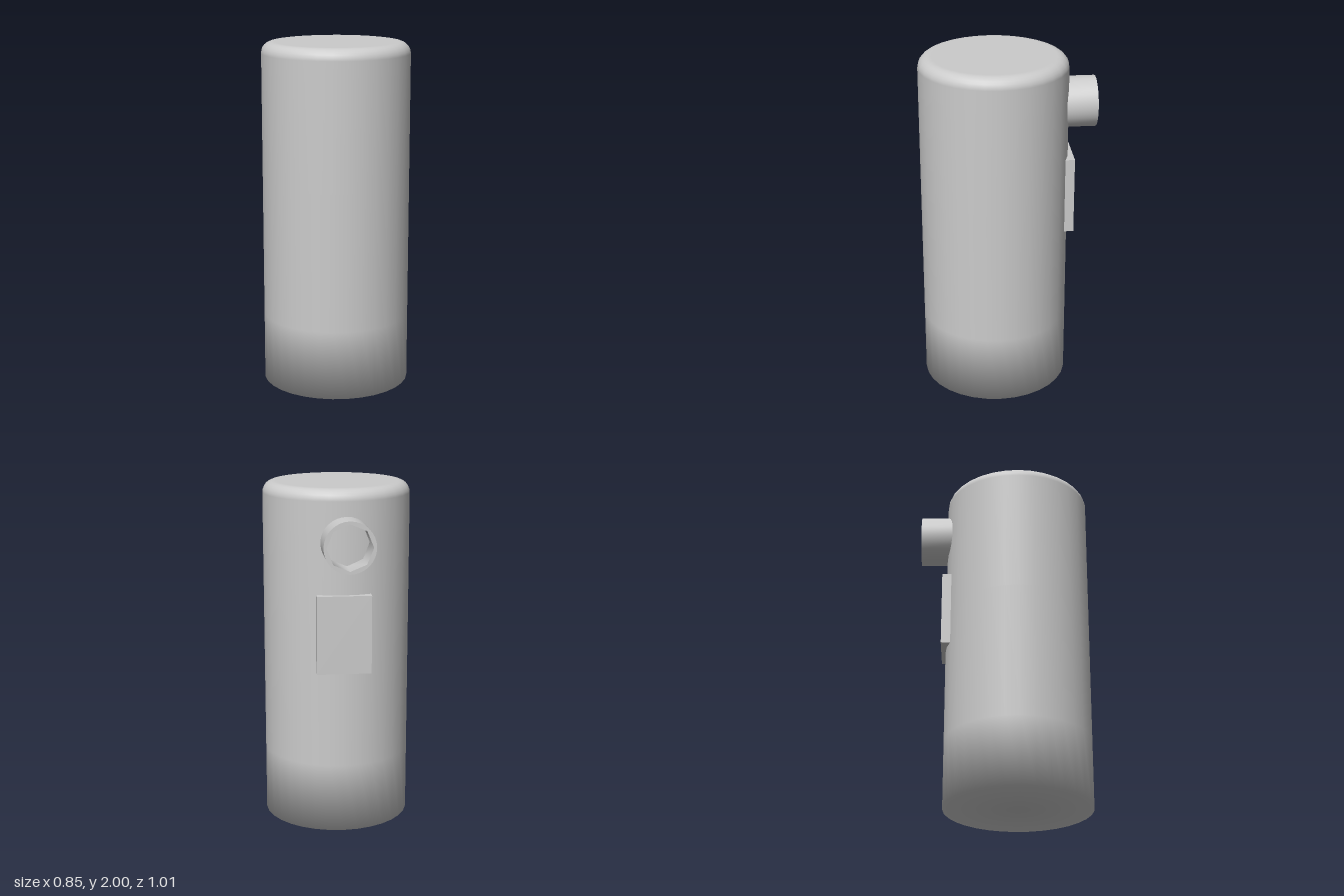
import * as THREE from 'three';
import { toCreasedNormals } from 'three/addons/utils/BufferGeometryUtils.js';

const grey = new THREE.MeshStandardMaterial({ color: 0xcccccc });

function addPart(group, name, geometry, x, y, z) {
  const mesh = new THREE.Mesh(geometry, grey);
  mesh.name = name;
  mesh.position.set(x, y, z);
  group.add(mesh);
  return mesh;
}

// Regular polygon outline, used for the round wall and the coarser bore
function polygon(PathType, radius, sides) {
  const points = [];
  for (let i = 0; i < sides; i++) {
    const a = (i / sides) * Math.PI * 2;
    points.push(new THREE.Vector2(Math.cos(a) * radius, Math.sin(a) * radius));
  }
  return new PathType(points);
}

export function createModel() {
  const model = new THREE.Group();
  model.name = 'cylinderWithSpout';

  // Tall body: soft-shaded base rim, straight wall, rounded top edge
  const radius = 0.427, height = 2, fillet = 0.065;
  const profile = [[0, 0], [radius, 0], [radius, 0.4], [radius, 1.2]]
    .map(([x, y]) => new THREE.Vector2(x, y));
  for (let i = 0; i <= 6; i++) {
    const a = (i / 6) * Math.PI / 2;
    profile.push(new THREE.Vector2(
      radius - fillet + Math.cos(a) * fillet,
      height - fillet + Math.sin(a) * fillet));
  }
  profile.push(new THREE.Vector2(radius - fillet - 0.01, height), new THREE.Vector2(0, height));
  addPart(model, 'body', new THREE.LatheGeometry(profile, 32), 0, 0, 0.078);

  // Short open pipe at the upper back
  const ring = polygon(THREE.Shape, 0.146, 32);
  ring.holes.push(polygon(THREE.Path, 0.13, 8));
  const pipe = new THREE.ExtrudeGeometry(ring, { depth: 0.195, bevelEnabled: false });
  addPart(model, 'backPipe', toCreasedNormals(pipe, 0.9), -0.016, 1.705, -0.505);

  // Flat plate below the pipe, sunk into the curved wall
  addPart(model, 'backPlate', new THREE.BoxGeometry(0.31, 0.45, 0.055), 0, 1.185, -0.346);

  return model;
}
